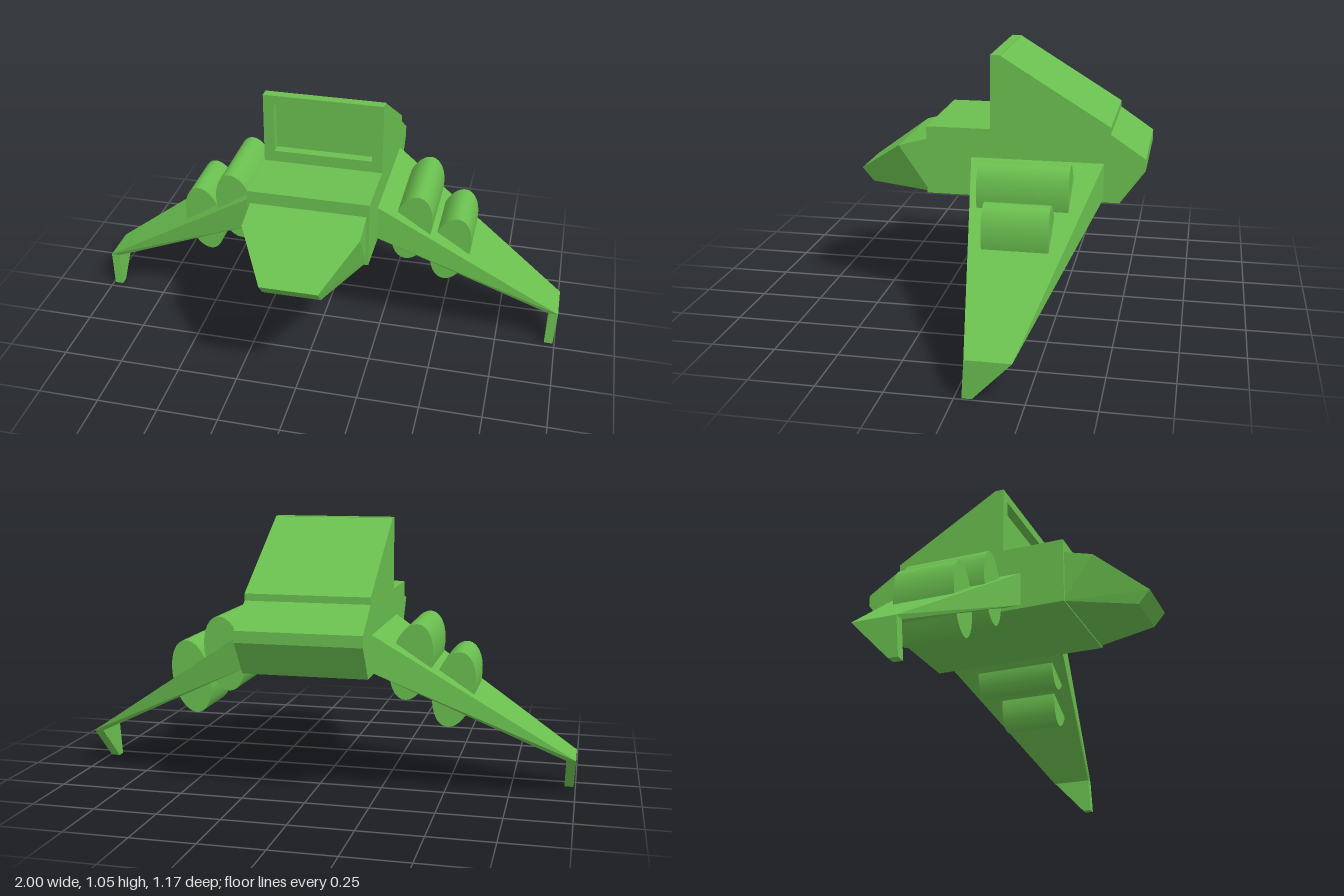
import * as THREE from 'three';
import { ConvexGeometry } from 'three/addons/geometries/ConvexGeometry.js';

const green = new THREE.MeshStandardMaterial({ color: 0x6abf4f });

function part(name, geometry, parent) {
  const mesh = new THREE.Mesh(geometry, green);
  mesh.name = name;
  parent.add(mesh);
  return mesh;
}

// Faceted solid around a few corner points; side = -1 mirrors it across x
const solid = (corners, side = 1) =>
  new ConvexGeometry(corners.map(([x, y, z]) => new THREE.Vector3(x * side, y, z)));

// Each corner pair (x, y) repeated at a front and a back z
const spar = (x, y, front, back) => [[x, y, front], [x, y, back]];

const rectangle = (Type, x, y0, y1) => new Type([
  [-x, y0], [x, y0], [x, y1], [-x, y1],
].map(([a, b]) => new THREE.Vector2(a, b)));

export function createModel() {
  const model = new THREE.Group();
  model.name = 'shuttle';
  const halfWidth = 0.243;

  // Hull: side profile (z, y) extruded across the width
  const profile = new THREE.Shape([
    [0.277, 0.49], [0.277, 0.763], [-0.02, 0.763], [-0.02, 1.053], [-0.45, 0.79],
    [-0.45, 0.763], [-0.587, 0.67], [-0.587, 0.625], [-0.49, 0.49],
  ].map(([z, y]) => new THREE.Vector2(z, y)));
  const hull = new THREE.ExtrudeGeometry(profile, { depth: 2 * halfWidth, bevelEnabled: false });
  hull.rotateY(-Math.PI / 2).translate(halfWidth, 0, 0);
  part('hull', hull, model);

  // Frame around the recessed front window
  const frame = rectangle(THREE.Shape, halfWidth, 0.763, 1.055);
  frame.holes.push(rectangle(THREE.Path, 0.2, 0.81, 1.015));
  const frameGeometry = new THREE.ExtrudeGeometry(frame, { depth: 0.04, bevelEnabled: false });
  part('windowFrame', frameGeometry.translate(0, 0, -0.02), model);

  // Tapered nose with an undercut chin
  const noseSide = [
    [0.232, 0.712, 0.27], [0.232, 0.677, 0.395], [0.114, 0.542, 0.587],
    [0.114, 0.487, 0.54], [0.232, 0.495, 0.27],
  ];
  part('nose', solid([...noseSide, ...noseSide.map(([x, y, z]) => [-x, y, z])]), model);

  for (const [side, label] of [[1, 'left'], [-1, 'right']]) {
    const wing = new THREE.Group();
    wing.name = label + 'WingAssembly';
    model.add(wing);

    // Drooping wing, thick at the root and thin at the tip
    part(label + 'Wing', solid([
      ...spar(0.24, 0.648, 0.097, -0.428), ...spar(0.24, 0.505, 0.097, -0.428),
      ...spar(1, 0.148, -0.037, -0.205), ...spar(0.963, 0.147, -0.037, -0.205),
    ], side), wing);

    // Downturned wing tip that the craft stands on
    part(label + 'WingTip', solid([
      ...spar(1, 0.148, -0.037, -0.205), ...spar(0.963, 0.15, -0.037, -0.205),
      ...spar(0.993, 0, -0.027, -0.063), ...spar(0.957, 0, -0.027, -0.063),
    ], side), wing);

    // Two oval engine pods through the wing
    for (const [name, x, y, z, length] of [
      ['InnerEngine', 0.374, 0.528, -0.143, 0.35],
      ['OuterEngine', 0.533, 0.418, -0.143, 0.25],
    ]) {
      const pod = new THREE.CylinderGeometry(1, 1, length, 40);
      pod.rotateX(Math.PI / 2).scale(0.08, 0.15, 1).rotateZ(-0.2 * side);
      part(label + name, pod, wing).position.set(x * side, y, z);
    }
  }
  return model;
}
